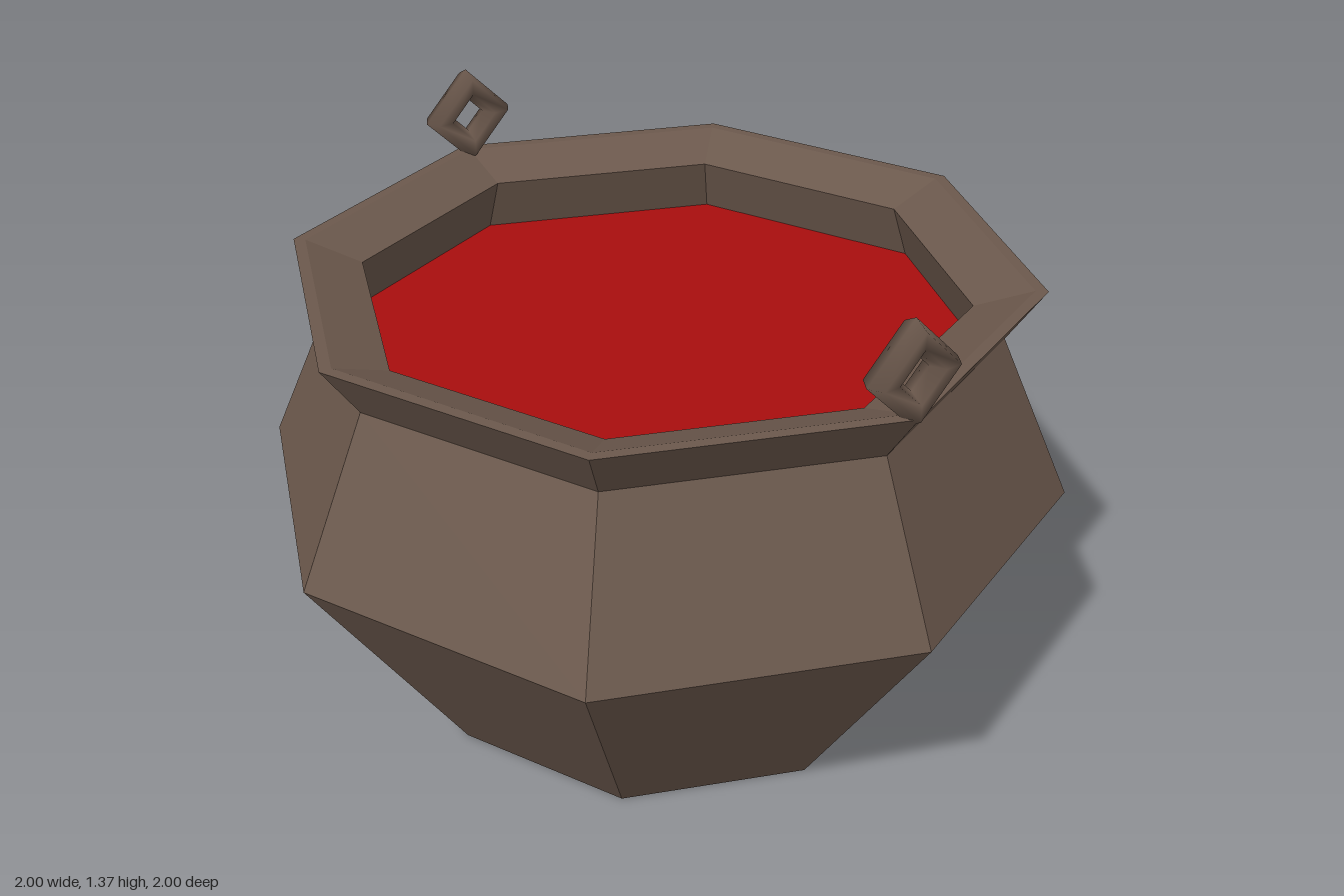
import * as THREE from 'three';

export function createModel() {
  const group = new THREE.Group();
  const iron = new THREE.MeshStandardMaterial({ color: 0x6b584c, flatShading: true });
  const smoothIron = new THREE.MeshStandardMaterial({ color: 0x6b584c });
  const red = new THREE.MeshStandardMaterial({ color: 0xa80e0e });

  const add = (name, geometry, material) => {
    const mesh = new THREE.Mesh(geometry, material);
    mesh.name = name;
    group.add(mesh);
    return mesh;
  };

  // Eight-sided pot: base, belly, neck, flared rim, then the overhanging inner lip
  const profile = [
    [0, 0], [0.6, 0], [1, 0.6], [0.82, 1.01], [0.91, 1.14],
    [0.88, 1.14], [0.74, 1.09], [0.79, 0.95],
  ].map(([r, y]) => new THREE.Vector2(r, y));
  add('pot', new THREE.LatheGeometry(profile, 8), iron);

  // Liquid surface filling the pot up to the inner lip
  const liquid = add('liquid', new THREE.CircleGeometry(0.79, 8), red);
  liquid.rotation.x = -Math.PI / 2;
  liquid.position.y = 0.95;

  // Diamond-shaped ring handles standing on the rim
  const ring = new THREE.TorusGeometry(0.085, 0.04, 6, 4);
  for (const [name, side] of [['leftHandle', 1], ['rightHandle', -1]]) {
    const handle = add(name, ring, smoothIron);
    handle.rotation.y = side * Math.PI / 2;
    handle.position.set(side * 0.88, 1.24, 0);
  }

  return group;
}
